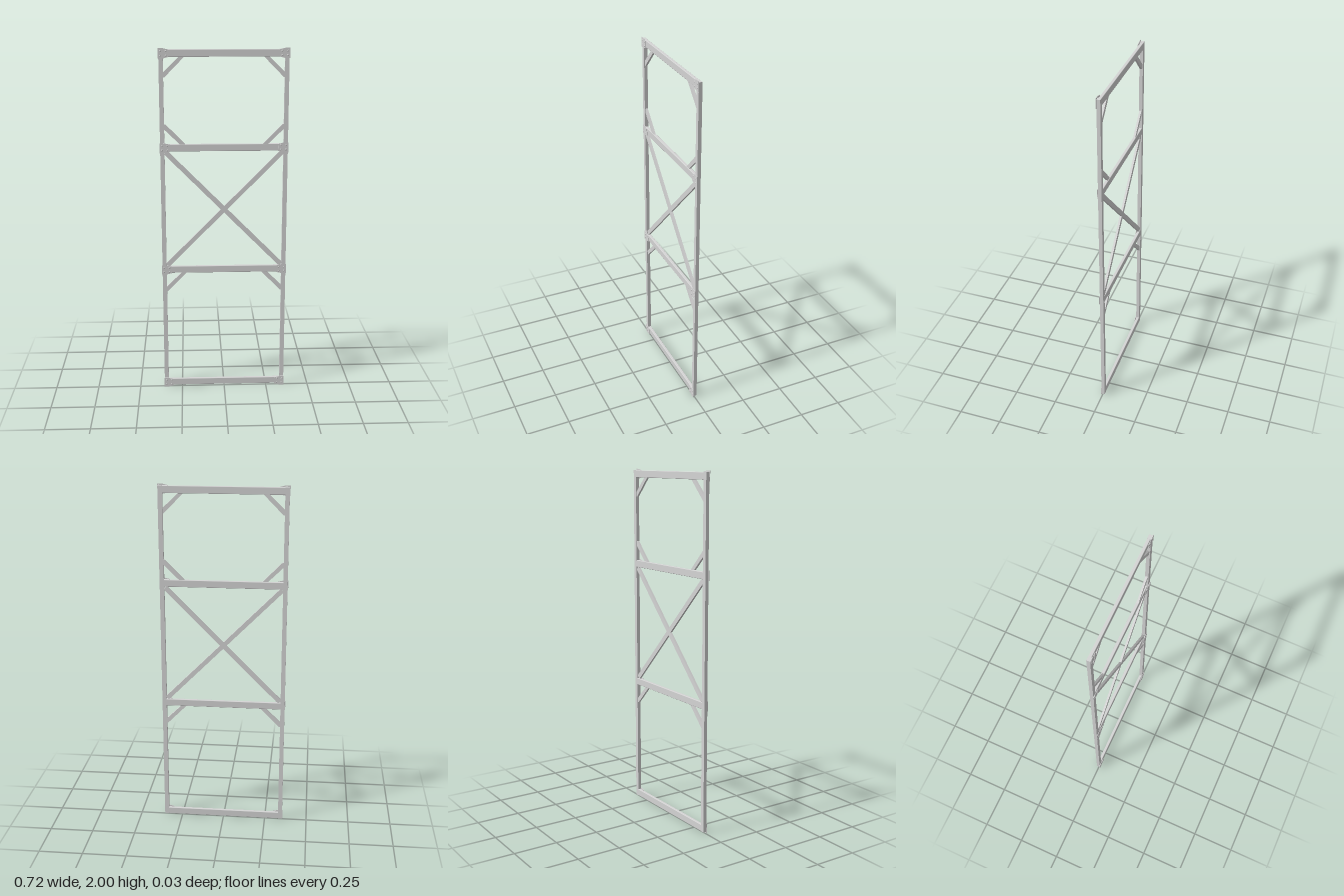
import * as THREE from 'three';
import { RoundedBoxGeometry } from 'three/addons/geometries/RoundedBoxGeometry.js';

const steel = new THREE.MeshStandardMaterial({ color: 0xd4d4d4 });
steel.name = 'light grey steel';

export function createModel() {
  const model = new THREE.Group();
  model.name = 'bracedFrame';

  const add = (name, geometry, x = 0, y = 0, z = 0) => {
    const mesh = new THREE.Mesh(geometry, steel);
    mesh.name = name;
    mesh.position.set(x, y, z);
    model.add(mesh);
    return mesh;
  };
  // flat outline pushed out from z by depth
  const slab = (name, points, z, depth) => {
    const shape = new THREE.Shape(points.map(([x, y]) => new THREE.Vector2(x, y)));
    return add(name, new THREE.ExtrudeGeometry(shape, { depth, bevelEnabled: false }), 0, 0, z);
  };

  // upright posts
  for (const s of [-1, 1]) {
    add(s > 0 ? 'leftPost' : 'rightPost',
      new THREE.BoxGeometry(0.024, 1.985, 0.02), s * 0.343, 1.0005, -0.0035);
  }

  // cross beams with tapered joint plates and low domed bolts
  const dome = new THREE.SphereGeometry(0.005, 12, 6, 0, Math.PI * 2, 0, Math.PI / 2);
  dome.rotateX(Math.PI / 2).scale(1, 1, 0.6);
  for (const y of [0.028, 0.739, 1.453, 1.972]) {
    add('crossBeam', new RoundedBoxGeometry(0.67, 0.04, 0.017, 3, 0.003), 0, y, -0.005);
    for (const s of [-1, 1]) {
      slab('jointPlate', [
        [s * 0.358, y - 0.028], [s * 0.333, y - 0.028], [s * 0.301, y - 0.02],
        [s * 0.301, y + 0.02], [s * 0.333, y + 0.028], [s * 0.358, y + 0.028],
      ], 0.0065, 0.003);
      for (const bx of [0.345, 0.315]) {
        for (const by of [-0.012, 0.012]) add('bolt', dome, s * bx, y + by, 0.0095);
      }
    }
  }

  // knee braces: beam edge height and direction toward the post
  for (const [y, d] of [[1.954, -1], [1.472, 1], [0.72, -1]]) {
    for (const s of [-1, 1]) {
      slab('kneeBrace', [
        [s * 0.333, y + d * 0.086], [s * 0.333, y + d * 0.112],
        [s * 0.325, y + d * 0.112], [s * 0.215, y], [s * 0.245, y],
      ], -0.010, 0.012);
    }
  }

  // crossed diagonal braces in the middle bay
  const [w, h] = [0.652, 0.662];
  for (const s of [-1, 1]) {
    const brace = add('diagonalBrace',
      new THREE.BoxGeometry(0.026, Math.hypot(w, h), 0.012), 0, 1.096, -0.004 + s * 0.0005);
    brace.rotation.z = s * Math.atan2(w, h);
  }

  return model;
}
